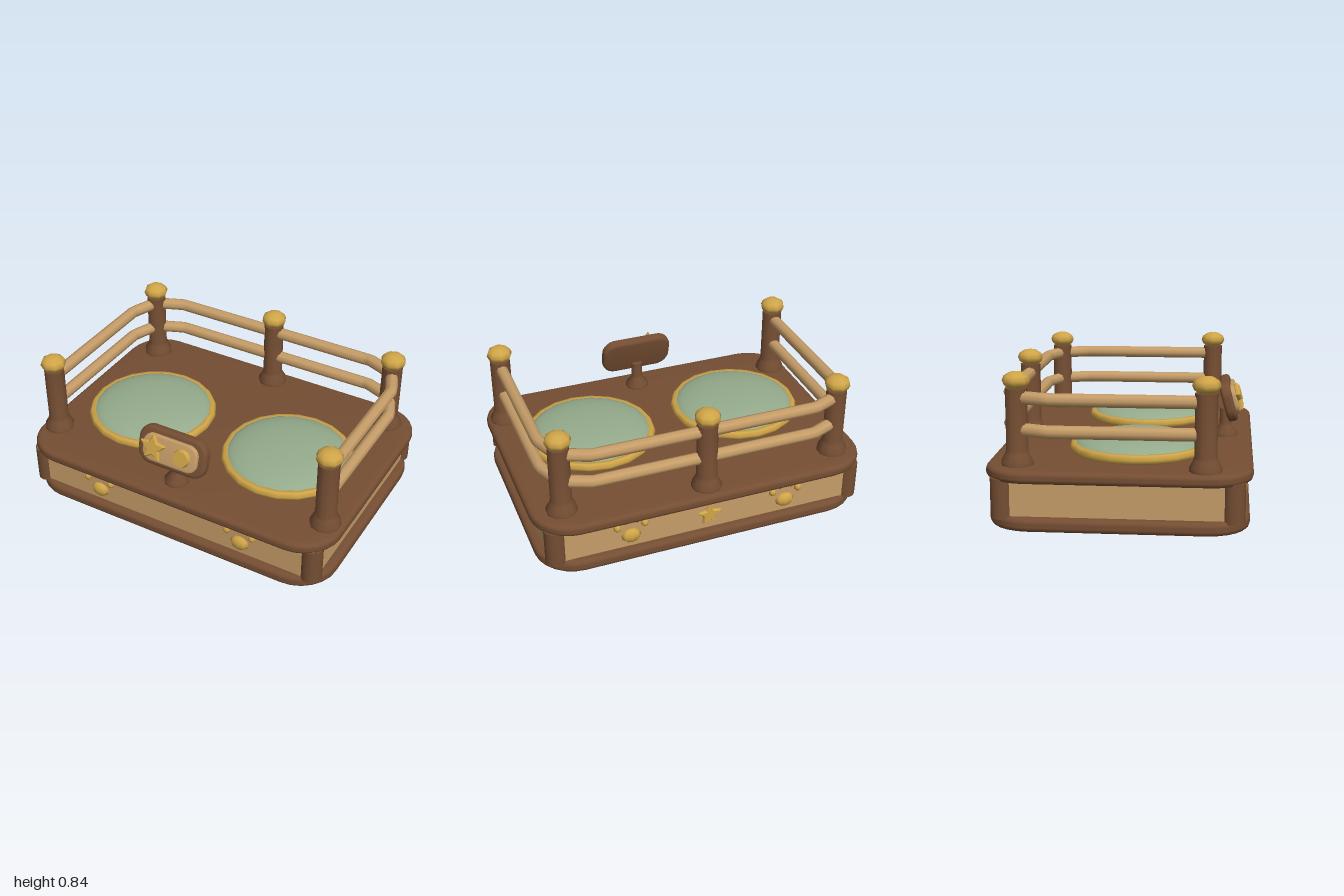
import * as THREE from 'three';
import { toCreasedNormals } from 'three/addons/utils/BufferGeometryUtils.js';

const material = (color) => new THREE.MeshStandardMaterial({ color });
const BROWN = material(0x754e33), TAN = material(0xc69d68), GOLD = material(0xd0a548), GREEN = material(0x95ab8c);

function add(parent, name, geometry, mat, x = 0, y = 0, z = 0) {
  const mesh = new THREE.Mesh(geometry, mat);
  mesh.name = name;
  mesh.position.set(x, y, z);
  parent.add(mesh);
  return mesh;
}

function group(parent, name, x = 0, y = 0, z = 0) {
  const g = new THREE.Group();
  g.name = name;
  g.position.set(x, y, z);
  parent.add(g);
  return g;
}

// Rounded plate with soft edges, centred, w by h, thickness along z
function plate(w, h, depth, radius, bevel, segments) {
  const a = w / 2 - bevel, b = h / 2 - bevel, r = radius - bevel;
  const s = new THREE.Shape();
  s.absarc(a - r, b - r, r, 0, Math.PI / 2);
  s.absarc(-a + r, b - r, r, Math.PI / 2, Math.PI);
  s.absarc(-a + r, -b + r, r, Math.PI, Math.PI * 1.5);
  s.absarc(a - r, -b + r, r, Math.PI * 1.5, Math.PI * 2);
  const g = new THREE.ExtrudeGeometry(s, {
    depth: depth - 2 * bevel, curveSegments: segments,
    bevelSize: bevel, bevelThickness: bevel, bevelSegments: 3,
  });
  g.translate(0, 0, bevel - depth / 2);
  return toCreasedNormals(g, 0.7);
}

// Five-pointed star with bevelled edges, back on z = 0
function starGeometry(radius) {
  const points = [];
  for (let i = 0; i < 10; i++) {
    const a = Math.PI / 2 + i * Math.PI / 5, r = radius * (i % 2 ? 0.42 : 0.87);
    points.push(new THREE.Vector2(r * Math.cos(a), r * Math.sin(a)));
  }
  return new THREE.ExtrudeGeometry(new THREE.Shape(points), {
    depth: 0.012, bevelSize: radius * 0.1, bevelThickness: 0.01, bevelSegments: 1,
  });
}

// Turned post with a flared foot
function postGeometry(foot, radius, height) {
  const profile = [[0, 0], [foot, 0], [foot, 0.025], [radius * 1.1, 0.065], [radius, 0.085], [radius, height], [0, height]];
  return toCreasedNormals(new THREE.LatheGeometry(profile.map(([x, y]) => new THREE.Vector2(x, y)), 10), 0.9);
}

function addPaw(parent, x, z) {
  const paw = group(parent, 'pawPrint', x, 0, z);
  const pad = new THREE.SphereGeometry(1, 8, 6);
  add(paw, 'pawPad', pad, GOLD, 0, 0.152, 0).scale.set(0.058, 0.045, 0.03);
  for (const [tx, ty] of [[-0.08, 0.222], [-0.035, 0.262], [0.035, 0.262], [0.08, 0.222]])
    add(paw, 'pawToe', pad, GOLD, tx, ty, 0).scale.set(0.022, 0.026, 0.025);
}

export function createModel() {
  const model = new THREE.Group();
  model.name = 'doublePetBed';

  // Base: plinth, panelled body, corner columns and deck
  const base = group(model, 'base');
  add(base, 'plinth', plate(1.965, 1.41, 0.075, 0.235, 0.028, 3), BROWN, 0, 0.0375).rotation.x = -Math.PI / 2;
  add(base, 'sidePanels', new THREE.BoxGeometry(1.86, 0.22, 1.32), TAN, 0, 0.17);
  add(base, 'deck', plate(2, 1.44, 0.07, 0.235, 0.028, 3), BROWN, 0, 0.3).rotation.x = -Math.PI / 2;
  for (const sx of [-1, 1]) for (const sz of [-1, 1])
    add(base, 'cornerColumn', new THREE.CylinderGeometry(0.062, 0.062, 0.22, 12), BROWN, sx * 0.893, 0.17, sz * 0.617);

  // Ornaments on front and back
  for (const sx of [-1, 1]) for (const sz of [-1, 1]) addPaw(model, sx * 0.47, sz * 0.665);
  add(model, 'backStar', starGeometry(0.07), GOLD, 0, 0.17, -0.657).rotation.y = Math.PI;

  // Cushions with gold rims
  for (const sx of [-1, 1]) {
    const bed = group(model, 'cushionBed', sx * 0.465, 0.372, 0.083);
    add(bed, 'cushion', new THREE.SphereGeometry(0.37, 20, 12), GREEN).scale.y = 0.225;
    add(bed, 'cushionRim', new THREE.TorusGeometry(0.362, 0.028, 6, 20), GOLD).rotation.x = Math.PI / 2;
  }

  // Fence posts with round finials
  for (const [x, z] of [[-0.893, 0.467], [0.893, 0.467], [-0.825, -0.54], [0.825, -0.54], [0, -0.61]]) {
    const post = group(model, 'fencePost', x, 0.33, z);
    add(post, 'postShaft', postGeometry(0.088, 0.06, 0.42), BROWN);
    add(post, 'finial', new THREE.SphereGeometry(0.076, 8, 6), GOLD, 0, 0.46).scale.y = 0.66;
  }

  // Rails running round three sides
  const half = [[0.893, 0.467], [0.893, -0.37], [0.825, -0.54], [0.66, -0.607]];
  const stops = [...half, ...half.map(([x, z]) => [-x, z]).reverse()].map(([x, z]) => new THREE.Vector3(x, 0, z));
  const path = new THREE.CurvePath();
  for (let i = 1; i < stops.length; i++) path.add(new THREE.LineCurve3(stops[i - 1], stops[i]));
  for (const y of [0.7, 0.528])
    add(model, 'rail', new THREE.TubeGeometry(path, 90, 0.036, 8), TAN, 0, y);

  // Tilted sign on a short stand
  const sign = group(model, 'sign');
  add(sign, 'signStand', postGeometry(0.072, 0.034, 0.17), BROWN, 0, 0.33, 0.562);
  const board = group(sign, 'signBoard', 0, 0.563, 0.58);
  board.rotation.x = -0.27;
  add(board, 'signFrame', plate(0.44, 0.235, 0.06, 0.085, 0.02, 5), BROWN);
  add(board, 'signFace', plate(0.35, 0.165, 0.03, 0.06, 0.008, 5), TAN, 0, 0, 0.037);
  add(board, 'signStar', starGeometry(0.085), GOLD, -0.1, 0.008, 0.055);
  add(board, 'signDisc', toCreasedNormals(new THREE.CylinderGeometry(0.046, 0.056, 0.03, 16), 0.6), GOLD, 0.083, 0, 0.06)
    .rotation.x = Math.PI / 2;

  return model;
}
